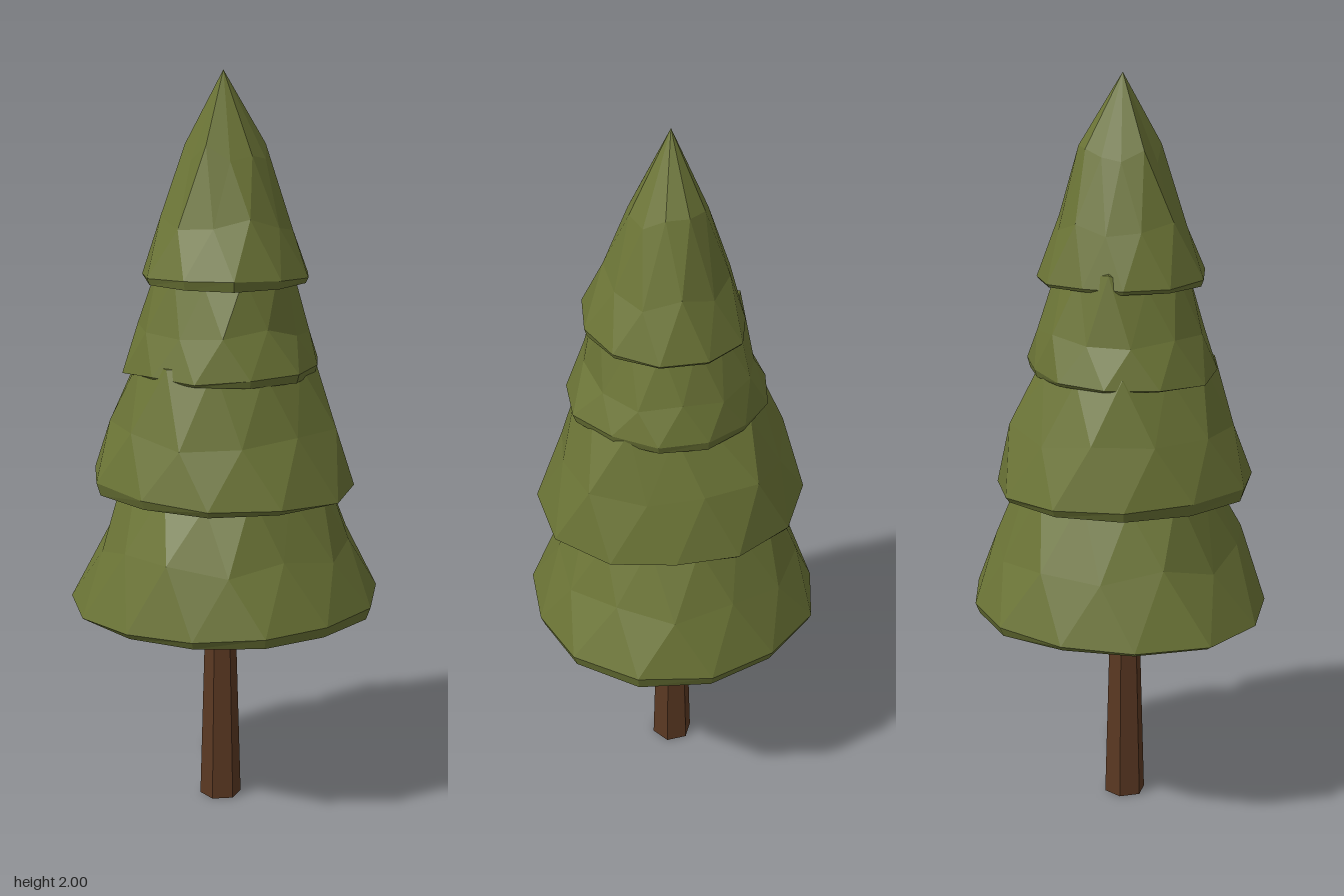
import * as THREE from 'three';

// Rim radii are evenly spaced clockwise from the start angle (0 = back);
// tilt leans the rim along x and z; levels are [scale, y] rings above the rim.
const TIERS = [
  {
    name: 'bottomTier', start: -6, base: 0.555, rimY: 0.578, tilt: [0.03, 0.01], peak: 1.03,
    radii: [0.4, 0.41, 0.4, 0.41, 0.418, 0.41, 0.39, 0.395, 0.395, 0.4, 0.415, 0.432, 0.415],
    levels: [[0.84, 0.74], [0.63, 0.92]],
  },
  {
    name: 'lowerMiddleTier', start: 0, base: 0.9, rimY: 0.916, tilt: [-0.04, -0.02], peak: 1.34,
    radii: [0.36, 0.35, 0.33, 0.31, 0.345, 0.365, 0.365, 0.37, 0.36, 0.372, 0.362, 0.365],
    levels: [[0.87, 1.07], [0.67, 1.24]],
  },
  {
    name: 'upperMiddleTier', start: -20, base: 1.216, rimY: 1.231, tilt: [0.04, 0.01], peak: 1.58,
    radii: [0.272, 0.255, 0.24, 0.25, 0.25, 0.25, 0.275, 0.28, 0.275, 0.263, 0.283, 0.28],
    levels: [[0.87, 1.34], [0.67, 1.48]],
  },
  {
    name: 'topTier', start: -31, base: 1.457, rimY: 1.47, tilt: [-0.02, 0.04], peak: 2,
    radii: [0.21, 0.19, 0.212, 0.22, 0.222, 0.226, 0.23, 0.24, 0.232, 0.236, 0.225],
    levels: [[0.77, 1.61], [0.46, 1.79]],
  },
];

// Seeded noise in -1..1
function makeNoise(seed) {
  let s = seed;
  return () => {
    s = (s * 16807) % 2147483647;
    return (s / 2147483647) * 2 - 1;
  };
}

// Closed faceted skirt; each level is turned half a step from the one below
function tierGeometry({ start, base, rimY, tilt, peak, radii, levels }, noise) {
  const n = radii.length;
  const rim = radii.map((r, j) => {
    const angle = THREE.MathUtils.degToRad(start + (j * 360) / n);
    const x = r * Math.sin(angle);
    const z = -r * Math.cos(angle);
    return new THREE.Vector3(x, rimY + tilt[0] * x + tilt[1] * z + 0.005 * noise(), z);
  });
  const rings = [rim.map((p) => new THREE.Vector3(p.x * 0.97, base, p.z * 0.97)), rim];
  levels.forEach(([scale, y], level) => {
    const step = (level + 1) / 2;
    const first = Math.floor(step);
    rings.push(rim.map((_, j) => rim[(j + first) % n].clone()
      .lerp(rim[(j + first + 1) % n], step - first)
      .multiplyScalar(scale * (1.02 + 0.05 * noise()))
      .setY(y + 0.025 * noise())));
  });

  const points = [...rings.flat(), new THREE.Vector3(0, base, 0), new THREE.Vector3(-0.01, peak, 0)];
  const bottom = points.length - 2;
  const tip = points.length - 1;
  const last = bottom - n;
  const index = [];
  for (let j = 0; j < n; j++) {
    const k = (j + 1) % n;
    index.push(bottom, j, k, last + j, tip, last + k);
    for (let lo = 0; lo < last; lo += n) {
      const hi = lo + n;
      index.push(lo + j, hi + j, lo + k, lo + k, hi + j, hi + k);
    }
  }
  const geometry = new THREE.BufferGeometry().setFromPoints(points);
  geometry.setIndex(index);
  const faceted = geometry.toNonIndexed();
  faceted.computeVertexNormals();
  return faceted;
}

export function createModel() {
  const tree = new THREE.Group();
  tree.name = 'pineTree';
  const needles = new THREE.MeshStandardMaterial({ color: 0x6b7436, flatShading: true });
  const bark = new THREE.MeshStandardMaterial({ color: 0x5a3822, flatShading: true });

  // Foliage tiers
  const noise = makeNoise(4217);
  for (const tier of TIERS) {
    const mesh = new THREE.Mesh(tierGeometry(tier, noise), needles);
    mesh.name = tier.name;
    tree.add(mesh);
  }

  // Tapered six-sided trunk
  const trunk = new THREE.Mesh(new THREE.CylinderGeometry(0.039, 0.057, 0.62, 6), bark);
  trunk.name = 'trunk';
  trunk.position.set(-0.018, 0.31, -0.002);
  trunk.rotation.y = 0.25;
  tree.add(trunk);

  return tree;
}
